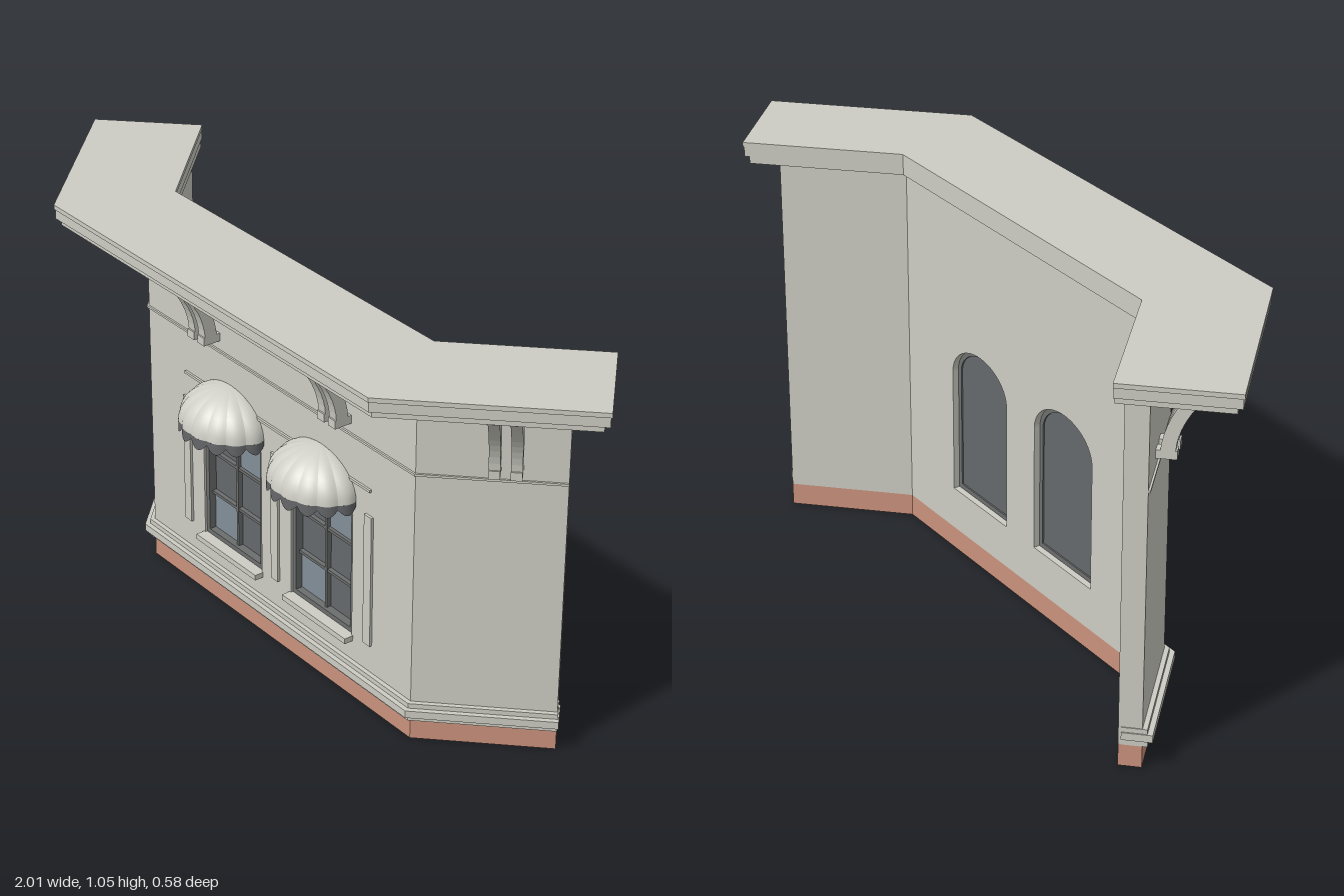
import * as THREE from 'three';
import { mergeGeometries } from 'three/addons/utils/BufferGeometryUtils.js';

const mat = (name, color, side = THREE.FrontSide) => {
  const m = new THREE.MeshStandardMaterial({ color, side });
  m.name = name;
  return m;
};

export function createModel() {
  const plaster = mat('plaster', 0xcdcdc4);
  const brick = mat('brick', 0xcb927d);
  const glass = mat('dark glass', 0x65696c);
  const paleGlass = mat('pale glass', 0x838e99);
  const frameMat = mat('window frame', 0x6c6e6e);
  const canvas = mat('awning canvas', 0xcfcfc7, THREE.DoubleSide);
  const trimCloth = mat('awning valance', 0x66676a, THREE.DoubleSide);

  const model = new THREE.Group();
  model.name = 'bayFacade';
  const add = (parent, name, geo, material, x = 0, y = 0, z = 0) => {
    const m = new THREE.Mesh(geo, material);
    m.name = name;
    m.position.set(x, y, z);
    parent.add(m);
    return m;
  };
  const box = (parent, name, x0, x1, y0, y1, z0, z1, material) =>
    add(parent, name, new THREE.BoxGeometry(x1 - x0, y1 - y0, z1 - z0), material,
      (x0 + x1) / 2, (y0 + y1) / 2, (z0 + z1) / 2);

  // Plan: a straight front with two wings turned back by 45 degrees.
  // d is the distance out from the plan line, s the station along a wing.
  const R = Math.SQRT1_2, FRONT = 0.07, BACK = 0.013, END = 0.682;
  const corner = d => [0.506 + 0.414 * d, d];
  const wingEnd = (d, s) => {
    const h = (corner(d)[0] + d) / 2;
    return [h + s * R, h - s * R];
  };
  const flip = ([x, z]) => [-x, z];
  const prism = (points, y0, y1) => {
    const shape = new THREE.Shape(points.map(([x, z]) => new THREE.Vector2(x, -z)));
    return new THREE.ExtrudeGeometry(shape, { depth: y1 - y0, bevelEnabled: false })
      .rotateX(-Math.PI / 2).translate(0, y0, 0);
  };
  const strip = (name, d0, d1, s, y0, y1, material = plaster) => {
    const half = [corner(d1), wingEnd(d1, s), wingEnd(d0, s), corner(d0)];
    add(model, name, prism([...half, ...half.map(flip).reverse()], y0, y1), material);
  };

  // Window outline: straight sides with an elliptical head
  const W = 0.122, SILL = 0.178, SPRING = 0.52, RISE = 0.09, CX = 0.183;
  const arch = (Type, cx, inset) => {
    const p = new Type();
    p.moveTo(cx - W + inset, SILL + inset);
    p.lineTo(cx + W - inset, SILL + inset);
    p.lineTo(cx + W - inset, SPRING);
    p.absellipse(cx, SPRING, W - inset, RISE - inset, 0, Math.PI, false, 0);
    p.closePath();
    return p;
  };
  const extrude = (shape, z0, z1) => new THREE.ExtrudeGeometry(shape,
    { depth: z1 - z0, bevelEnabled: false, curveSegments: 20 }).translate(0, 0, z0);

  // Walls
  const c = corner(FRONT)[0];
  const wall = new THREE.Shape([[-c, 0.06], [c, 0.06], [c, 0.995], [-c, 0.995]]
    .map(p => new THREE.Vector2(...p)));
  wall.holes.push(arch(THREE.Path, -CX, 0), arch(THREE.Path, CX, 0));
  add(model, 'frontWall', extrude(wall, BACK, FRONT), plaster);
  const wing = [corner(FRONT), wingEnd(FRONT, END), wingEnd(BACK, END), corner(BACK)];
  add(model, 'leftWingWall', prism(wing, 0.06, 0.995), plaster);
  add(model, 'rightWingWall', prism(wing.map(flip), 0.06, 0.995), plaster);

  // Brick footing, base mouldings, string course and stepped roof slab
  strip('brickFooting', BACK, FRONT, END, 0, 0.06, brick);
  strip('baseMouldingLower', 0.02, 0.083, 0.684, 0.06, 0.075);
  strip('baseMouldingMiddle', 0.02, 0.095, 0.687, 0.075, 0.095);
  strip('baseMouldingUpper', 0.02, 0.082, 0.684, 0.095, 0.108);
  strip('stringCourse', 0.05, 0.075, END, 0.737, 0.743);
  strip('corniceLower', 0.002, 0.27, 0.758, 0.995, 1.014);
  strip('corniceMiddle', 0.001, 0.283, 0.771, 1.014, 1.04);
  strip('roofSlab', 0, 0.286, 0.774, 1.04, 1.052);

  // Pilasters and the thin ledge over the windows
  for (const x of [-0.37, 0, 0.37])
    box(model, 'pilaster', x - 0.014, x + 0.014, 0.187, 0.55, 0.06, 0.077, plaster);
  box(model, 'windowLedge', -0.375, 0.375, 0.616, 0.623, 0.06, 0.076, plaster);

  // Curved brackets, in pairs; profile is distance out against height
  const profile = new THREE.Shape();
  profile.moveTo(0.065, 0.768);
  profile.lineTo(0.119, 0.768);
  profile.lineTo(0.119, 0.79);
  profile.lineTo(0.115, 0.79);
  profile.quadraticCurveTo(0.12, 0.885, 0.235, 0.985);
  profile.lineTo(0.253, 0.985);
  profile.lineTo(0.253, 0.996);
  profile.lineTo(0.195, 0.996);
  profile.quadraticCurveTo(0.09, 0.895, 0.08, 0.79);
  profile.lineTo(0.065, 0.79);
  const bracketGeo = new THREE.ExtrudeGeometry(profile,
    { depth: 0.027, bevelEnabled: false, curveSegments: 10 })
    .translate(0, 0, -0.0135).rotateY(-Math.PI / 2);
  for (const side of [-1, 1]) {
    for (const x of [0.241, 0.283]) add(model, 'frontBracket', bracketGeo, plaster, side * x);
    for (const s of [0.512, 0.563])
      add(model, 'wingBracket', bracketGeo, plaster, side * (0.253 + s * R), 0, 0.253 - s * R)
        .rotation.y = side * Math.PI / 4;
  }

  // Awning: puffed gores over a scalloped valance
  const GORES = 8, STEP = Math.PI / GORES;
  const puff = t => 0.965 + 0.035 * Math.sin(Math.PI * t);
  const gores = [], flaps = [];
  for (let i = 0; i < GORES; i++) {
    const g = new THREE.SphereGeometry(1, 6, 10, i * STEP, STEP, 0, Math.PI / 2);
    const p = g.attributes.position, uv = g.attributes.uv;
    for (let k = 0; k < p.count; k++) {
      const f = puff(uv.getX(k));
      p.setXYZ(k, p.getX(k) * f * 0.142, p.getY(k) * 0.097, p.getZ(k) * f * 0.127);
    }
    g.computeVertexNormals();
    gores.push(g);

    const v = new THREE.PlaneGeometry(1, 1, 8, 1);
    const q = v.attributes.position;
    for (let k = 0; k < q.count; k++) {
      const t = q.getX(k) + 0.5, a = (i + t) * STEP, low = q.getY(k) < 0;
      const f = puff(t);
      q.setXYZ(k, -Math.cos(a) * f * 0.142,
        low ? -0.013 - 0.018 * Math.sin(Math.PI * t) : 0, Math.sin(a) * f * 0.127);
    }
    v.computeVertexNormals();
    flaps.push(v);
  }
  const domeGeo = mergeGeometries(gores), valanceGeo = mergeGeometries(flaps);

  // Windows: glass, arched frame, glazing bars, pale panes, sill and awning
  for (const cx of [-CX, CX]) {
    const win = new THREE.Group();
    win.name = cx > 0 ? 'leftWindow' : 'rightWindow';
    model.add(win);
    add(win, 'glass', extrude(arch(THREE.Shape, cx, 0.002), 0.034, 0.042), glass);
    const frame = arch(THREE.Shape, cx, 0);
    frame.holes.push(arch(THREE.Path, cx, 0.013));
    add(win, 'frame', extrude(frame, 0.03, 0.064), frameMat);
    box(win, 'uprightBar', cx - 0.004, cx + 0.004, SILL + 0.01, SPRING + RISE - 0.01, 0.04, 0.055, frameMat);
    for (const y of [0.299, 0.418, 0.535])
      box(win, 'crossBar', cx - 0.112, cx + 0.112, y - 0.004, y + 0.004, 0.04, 0.054, frameMat);
    box(win, 'palePane', cx + 0.004, cx + 0.109, 0.422, 0.531, 0.04, 0.045, paleGlass);
    box(win, 'palePane', cx - 0.109, cx - 0.004, 0.191, 0.295, 0.04, 0.045, paleGlass);
    box(win, 'sill', cx - 0.127, cx + 0.127, 0.163, 0.178, 0.05, 0.095, plaster);
    add(win, 'awning', domeGeo, canvas, cx, 0.566, 0.072);
    add(win, 'valance', valanceGeo, trimCloth, cx, 0.566, 0.072);
  }
  return model;
}
